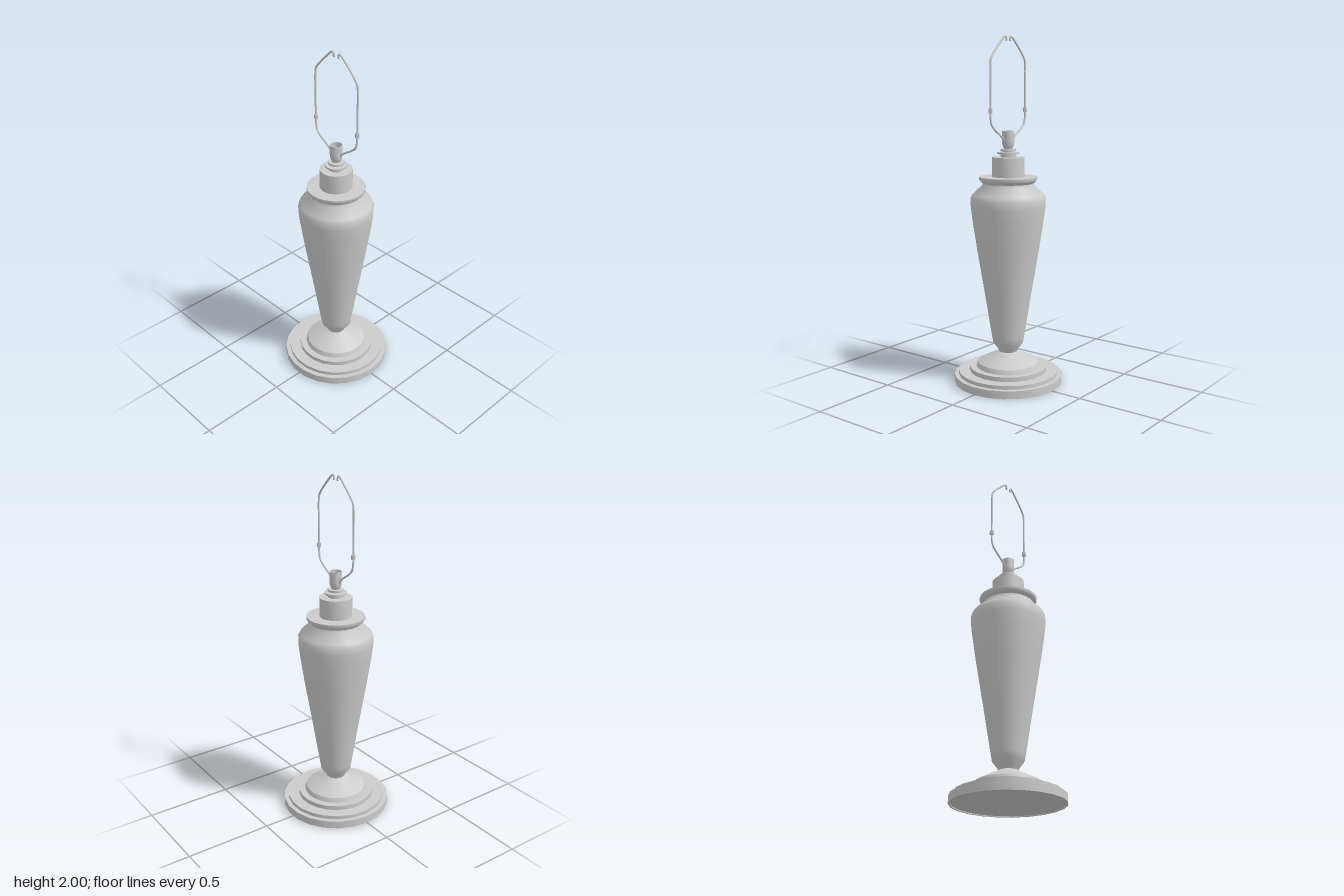
import * as THREE from 'three';
import { toCreasedNormals } from 'three/addons/utils/BufferGeometryUtils.js';

const SIDES = 22;
const material = new THREE.MeshStandardMaterial({ color: 0xcccccc, side: THREE.DoubleSide });

function addMesh(parent, name, geometry) {
  const mesh = new THREE.Mesh(geometry, material);
  mesh.name = name;
  parent.add(mesh);
  return mesh;
}

// Turned part from [radius, height] pairs, listed bottom to top
function turned(parent, name, profile, crease = 0.6) {
  const points = profile.map(([r, y]) => new THREE.Vector2(r, y));
  return addMesh(parent, name, toCreasedNormals(new THREE.LatheGeometry(points, SIDES), crease));
}

export function createModel() {
  const lamp = new THREE.Group();
  lamp.name = 'tableLamp';

  // Stepped round base
  turned(lamp, 'base', [
    [0, 0.005], [0.305, 0.005], [0.305, 0], [0.316, 0], [0.316, 0.045],
    [0.29, 0.045], [0.29, 0.066], [0.225, 0.066], [0.225, 0.092], [0, 0.092],
  ]);

  // Domed foot, narrow waist and tapered vase with a flared lip
  turned(lamp, 'foot', [
    [0.187, 0.092], [0.178, 0.118], [0.15, 0.132], [0.11, 0.152], [0.075, 0.168], [0.054, 0.18],
  ]);
  turned(lamp, 'vase', [
    [0.054, 0.18], [0.06, 0.195], [0.088, 0.232], [0.095, 0.27], [0.135, 0.52], [0.18, 0.79],
    [0.207, 0.97], [0.215, 1.04], [0.216, 1.085], [0.205, 1.108], [0.148, 1.16],
    [0.147, 1.172], [0.16, 1.183], [0.167, 1.193], [0.167, 1.208], [0, 1.208],
  ], 0.9);

  // Cap block and washers
  turned(lamp, 'cap', [[0.093, 1.208], [0.093, 1.32], [0, 1.32]]);
  turned(lamp, 'washers', [
    [0.045, 1.32], [0.045, 1.338], [0.063, 1.338], [0.063, 1.348], [0.03, 1.348],
    [0.03, 1.354], [0.045, 1.354], [0.045, 1.366], [0, 1.366],
  ]);

  // Hollow bulb socket
  turned(lamp, 'socket', [
    [0.024, 1.366], [0.027, 1.375], [0.034, 1.392], [0.035, 1.41], [0.035, 1.467],
    [0.032, 1.467], [0.032, 1.4], [0, 1.4],
  ]);

  // Two mirrored harp wires, each with a small six-sided ferrule
  const path = [
    [0.03, 1.405], [0.042, 1.422], [0.08, 1.45], [0.125, 1.48], [0.15, 1.505], [0.159, 1.54],
    [0.16, 1.6], [0.16, 1.72], [0.16, 1.83], [0.154, 1.868], [0.125, 1.905],
    [0.075, 1.955], [0.035, 1.99], [0.02, 1.993], [0.017, 1.972],
  ];
  for (const side of [1, -1]) {
    const harp = new THREE.Group();
    harp.name = side > 0 ? 'frontHarp' : 'backHarp';
    const curve = new THREE.CatmullRomCurve3(
      path.map(([z, y]) => new THREE.Vector3(0, y, side * z)), false, 'centripetal');
    addMesh(harp, 'wire', new THREE.TubeGeometry(curve, 56, 0.0055, 8));
    for (const end of [path[0], path[path.length - 1]]) {
      addMesh(harp, 'wireEnd', new THREE.SphereGeometry(0.0055, 8, 6)).position.set(0, end[1], side * end[0]);
    }
    const ferrule = toCreasedNormals(new THREE.CylinderGeometry(0.012, 0.012, 0.025, 6), 0.5);
    addMesh(harp, 'ferrule', ferrule).position.set(0, 1.583, side * 0.16);
    lamp.add(harp);
  }
  return lamp;
}
